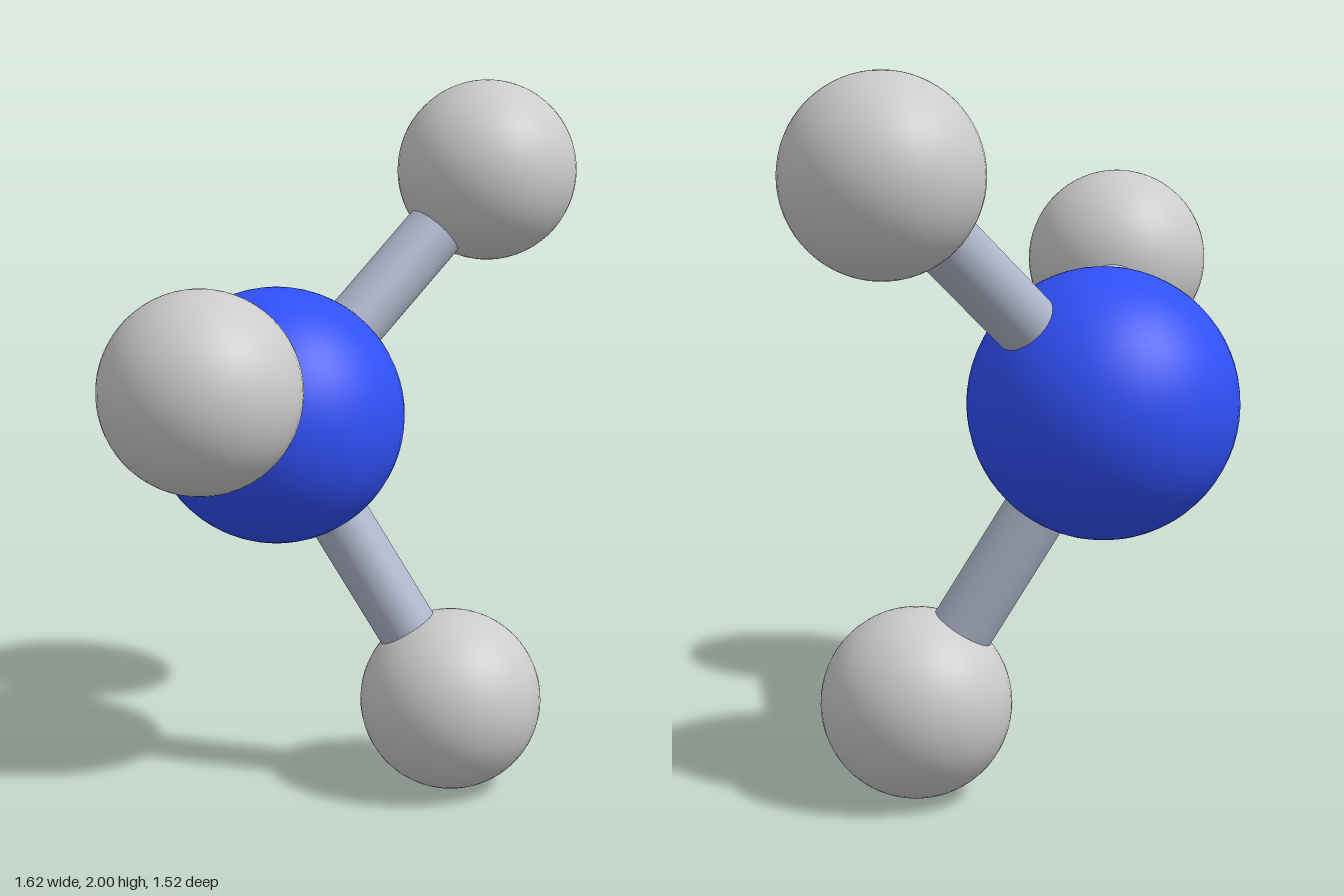
import * as THREE from 'three';

const material = (color) => new THREE.MeshStandardMaterial({ color });

export function createModel() {
  const group = new THREE.Group();
  const blue = material(0x3050f8);
  const grey = material(0xcccccc);
  const steel = material(0xb0b8cc);

  function ball(name, center, radius, mat) {
    const mesh = new THREE.Mesh(new THREE.SphereGeometry(radius, 48, 32), mat);
    mesh.name = name;
    mesh.position.copy(center);
    group.add(mesh);
  }

  // Round rod running between two ball centres
  function rod(name, from, to, radius) {
    const dir = to.clone().sub(from);
    const mesh = new THREE.Mesh(new THREE.CylinderGeometry(radius, radius, dir.length(), 32), steel);
    mesh.name = name;
    mesh.position.copy(from).add(to).multiplyScalar(0.5);
    mesh.quaternion.setFromUnitVectors(new THREE.Vector3(0, 1, 0), dir.normalize());
    group.add(mesh);
  }

  // Large central atom
  const center = new THREE.Vector3(-0.137, 1.09, -0.322);
  ball('centralAtom', center, 0.365, blue);

  // Three small atoms, each joined to the centre by a bond
  const outer = {
    upper: new THREE.Vector3(0.549, 1.739, -0.5),
    front: new THREE.Vector3(-0.551, 1.362, 0.5),
    lower: new THREE.Vector3(0.325, 0.261, -0.122),
  };
  for (const [name, position] of Object.entries(outer)) {
    rod(`${name}Bond`, center, position, 0.087);
    ball(`${name}Atom`, position, 0.261, grey);
  }

  return group;
}
